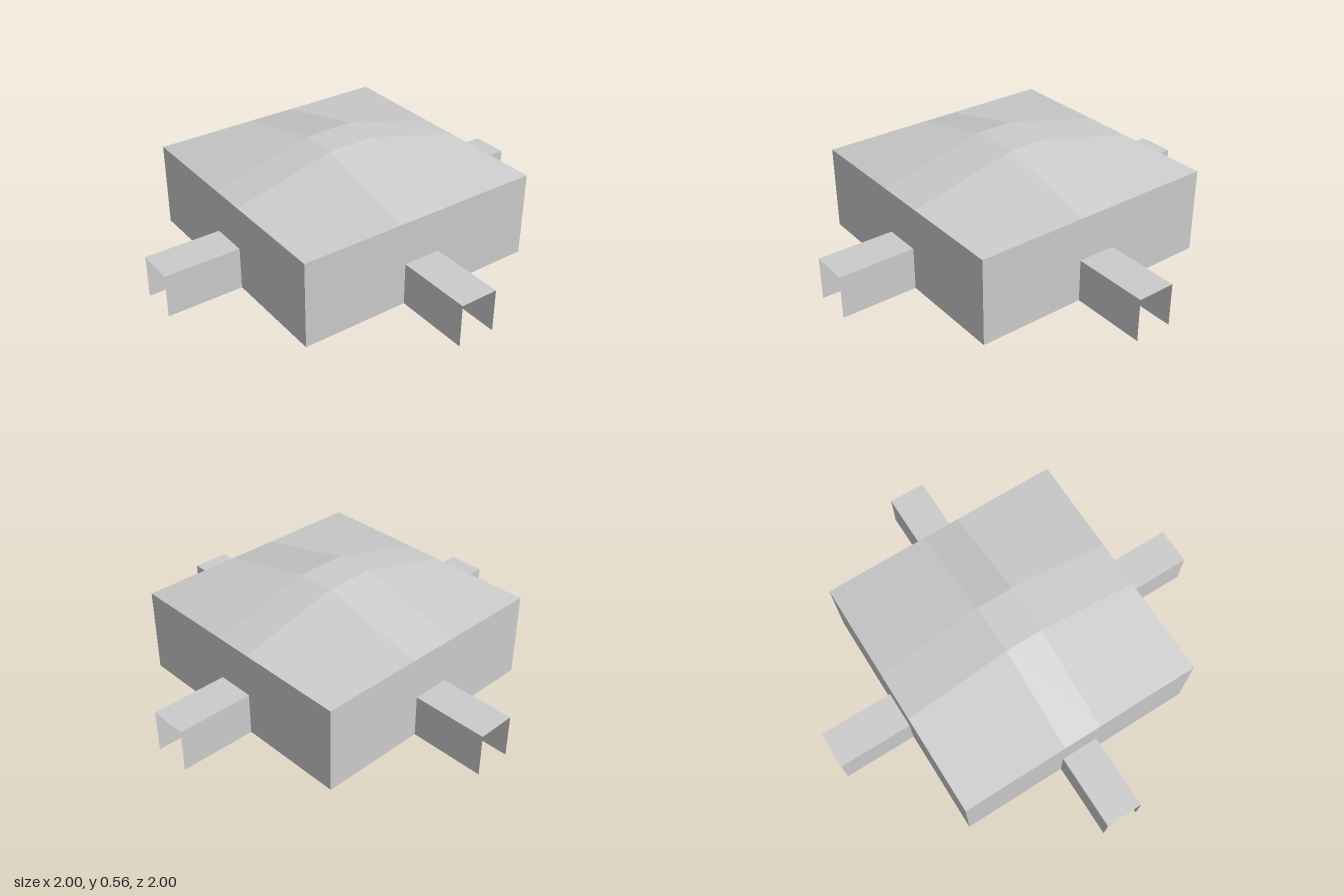
import * as THREE from 'three';

const HALF = 0.625, EAVE = 0.426, TOP = 0.555;
const DOOR_W = 0.094, DOOR_H = 0.212, REACH = 1;
const ROOM_OUT = 0.34, ROOM_IN = 0.272;

const material = new THREE.MeshStandardMaterial({ color: 0xcccccc, side: THREE.DoubleSide });

function part(name, geometry) {
  const mesh = new THREE.Mesh(geometry, material);
  mesh.name = name;
  return mesh;
}

// Sheet of quads, each shaded flat with one normal taken from its diagonals
function quadSheet(quads) {
  const position = [], normal = [];
  for (const [a, b, c, d] of quads) {
    const n = c.clone().sub(a).cross(d.clone().sub(b)).normalize();
    for (const p of [a, b, c, a, c, d]) {
      position.push(p.x, p.y, p.z);
      normal.push(n.x, n.y, n.z);
    }
  }
  const g = new THREE.BufferGeometry();
  g.setAttribute('position', new THREE.Float32BufferAttribute(position, 3));
  g.setAttribute('normal', new THREE.Float32BufferAttribute(normal, 3));
  return g;
}

// Upright wall sheet facing +z, with or without a doorway cut up from the ground
function wallGeometry(half, hasDoor) {
  const door = [[-DOOR_W, 0], [-DOOR_W, DOOR_H], [DOOR_W, DOOR_H], [DOOR_W, 0]];
  const outline = [[-half, 0], ...(hasDoor ? door : []), [half, 0], [half, EAVE], [-half, EAVE]];
  const shape = new THREE.Shape(outline.map(([x, y]) => new THREE.Vector2(x, y)));
  return new THREE.ShapeGeometry(shape).translate(0, 0, half);
}

// Passage with two sides and a flat top, open at its ends and below
function passageGeometry(z0, z1) {
  const profile = [[DOOR_W, 0], [DOOR_W, DOOR_H], [-DOOR_W, DOOR_H], [-DOOR_W, 0]];
  const quads = [];
  for (let i = 0; i < 3; i++) {
    const [xa, ya] = profile[i], [xb, yb] = profile[i + 1];
    quads.push([
      new THREE.Vector3(xa, ya, z1), new THREE.Vector3(xb, yb, z1),
      new THREE.Vector3(xb, yb, z0), new THREE.Vector3(xa, ya, z0),
    ]);
  }
  return quadSheet(quads);
}

// Roof on a three by three grid, raised to a small flat top in the middle
function roofGeometry() {
  const xs = [-HALF, -0.095, 0.095, HALF], zs = [-HALF, -0.125, 0.125, HALF];
  const inner = (i) => i === 1 || i === 2;
  const at = (i, j) => new THREE.Vector3(xs[i], inner(i) && inner(j) ? TOP : EAVE, zs[j]);
  const quads = [];
  for (let i = 0; i < 3; i++) {
    for (let j = 0; j < 3; j++) quads.push([at(i, j), at(i, j + 1), at(i + 1, j + 1), at(i + 1, j)]);
  }
  return quadSheet(quads);
}

// Underside of the room's front wall, mitred at the corners and split by the doorway
function sillGeometry() {
  const v = (x, z) => new THREE.Vector3(x, 0, z);
  return quadSheet([
    [v(-ROOM_OUT, ROOM_OUT), v(-ROOM_IN, ROOM_IN), v(-DOOR_W, ROOM_IN), v(-DOOR_W, ROOM_OUT)],
    [v(DOOR_W, ROOM_OUT), v(DOOR_W, ROOM_IN), v(ROOM_IN, ROOM_IN), v(ROOM_OUT, ROOM_OUT)],
  ]);
}

export function createModel() {
  const model = new THREE.Group();
  model.name = 'shelter';

  const wall = wallGeometry(HALF, true), passage = passageGeometry(HALF, REACH);
  const room = new THREE.Group();
  room.name = 'innerRoom';

  for (let k = 0; k < 4; k++) {
    // Outer side with its passage
    const side = new THREE.Group();
    side.name = 'side' + (k + 1);
    side.add(part('wall', wall), part('entrancePassage', passage));

    // Hollow double wall of the inner room, with a doorway at the front only
    const roomSide = new THREE.Group();
    roomSide.name = 'roomSide' + (k + 1);
    roomSide.add(
      part('roomOuterFace', wallGeometry(ROOM_OUT, k === 0)),
      part('roomInnerFace', wallGeometry(ROOM_IN, k === 0)),
    );

    side.rotation.y = roomSide.rotation.y = (k * Math.PI) / 2;
    model.add(side);
    room.add(roomSide);
  }

  // Floor, sill and door frame of the inner room
  const floor = new THREE.PlaneGeometry(2 * ROOM_IN, 2 * ROOM_IN).rotateX(-Math.PI / 2);
  room.add(
    part('roomFloor', floor),
    part('roomSill', sillGeometry()),
    part('roomDoorFrame', passageGeometry(ROOM_IN, ROOM_OUT)),
  );

  model.add(room, part('roof', roofGeometry()));
  return model;
}
